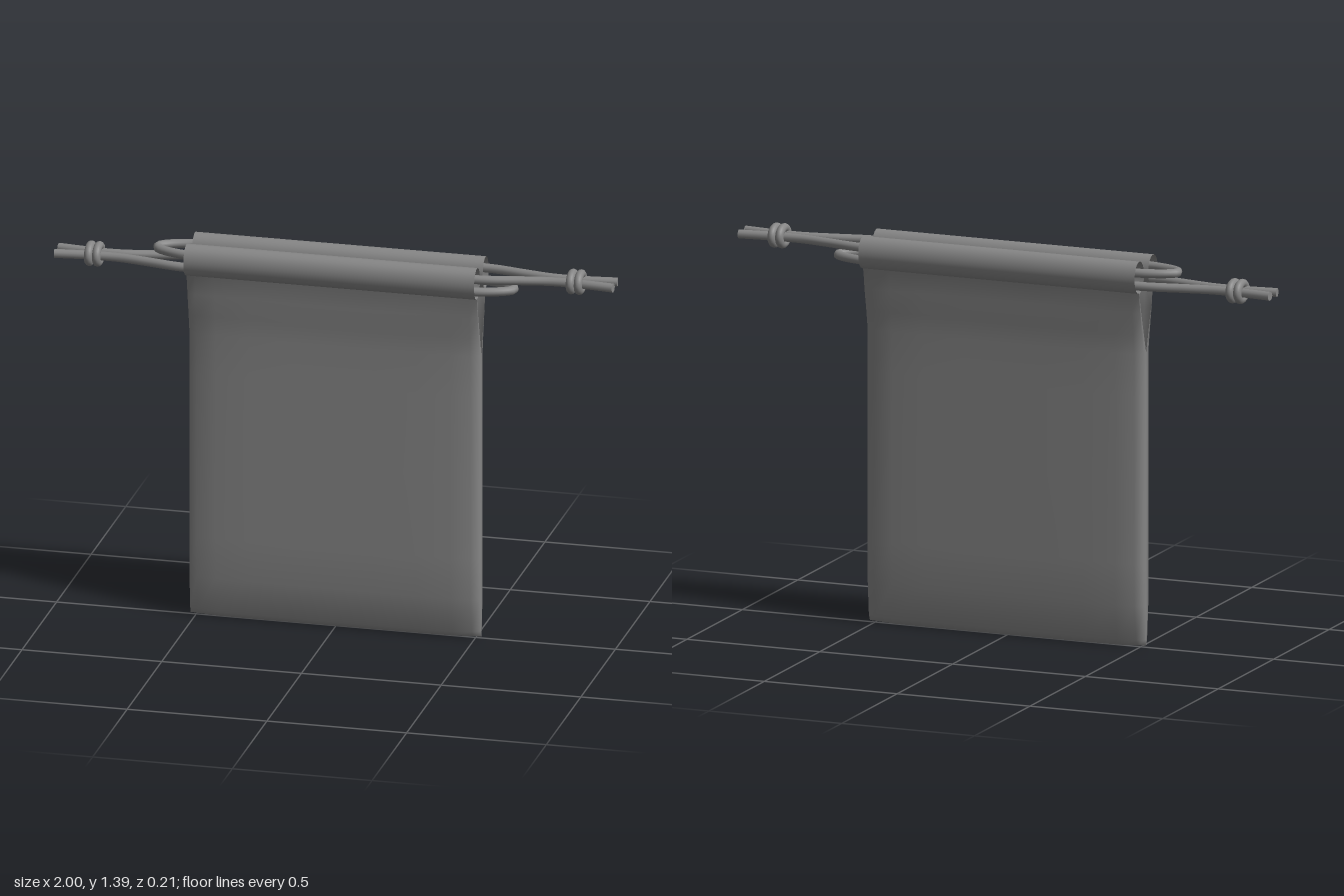
import * as THREE from 'three';

const fabric = new THREE.MeshStandardMaterial({ color: 0x868686, side: THREE.DoubleSide });
const cordMat = new THREE.MeshStandardMaterial({ color: 0x868686 });

const HALF = 0.52;          // half width of the bag

// One half of the bag with its hem: rows are [height, depth, inner edge of the side flap]
function panelGeometry() {
  const rows = [
    [0, 0.002, 0], [0.022, 0.023, 0], [0.15, 0.044, 0], [0.3, 0.045, 0],
    [0.6, 0.045, 0], [0.9, 0.045, 0], [1.05, 0.045, 0], [1.12, 0.05, 0.0205], [1.2, 0.059, 0.044],
  ];
  // The hem curls outward, over the top and back down into a sleeve for the cords
  for (let i = 0; i <= 28; i++) {
    const a = (i / 28) * Math.PI * 2;
    const z = 0.062 + 0.043 * Math.sin(a);
    rows.push([1.33 - 0.057 * Math.cos(a), z, z]);
  }
  // Half cross-section: [x, share of the way from inner edge to full depth]
  const side = [[HALF, 0], [0.519, 0.5], [0.49, 0.8], [0.42, 0.95], [0.3, 1], [0.15, 1]];
  const section = [...side, [0, 1], ...side.slice().reverse().map(([x, t]) => [-x, t])];
  const positions = [], index = [], n = section.length;
  rows.forEach(([y, depth, inner], r) => {
    for (const [x, t] of section) {
      const lift = r < 2 ? 0.006 * Math.max(0, (Math.abs(x) - 0.4) / 0.12) : 0;
      positions.push(x, y + lift, inner + (depth - inner) * t);
    }
    if (r === rows.length - 1) return;
    for (let c = 0; c < n - 1; c++) {
      const a = r * n + c, up = a + n;
      index.push(a, up, a + 1, a + 1, up, up + 1);
    }
  });
  const g = new THREE.BufferGeometry();
  g.setAttribute('position', new THREE.Float32BufferAttribute(positions, 3));
  g.setIndex(index);
  g.computeVertexNormals();
  return g;
}

// Cord looped at -x, with both tails knotted at +x
function makeCord(knotX) {
  const cord = new THREE.Group();
  const half = [
    [1, 0.032], [0.93, 0.024], [0.86, 0.018], [0.77, 0.019], [0.67, 0.036], [0.56, 0.058], [0.48, 0.064],
    [0.2, 0.064], [-0.2, 0.064], [-0.48, 0.064], [-0.55, 0.054], [-0.61, 0.032], [-0.635, 0.012],
  ];
  const points = [...half, ...half.slice().reverse().map(([x, z]) => [x, -z])]
    .map(([x, z]) => new THREE.Vector3(x, 0, z));
  const curve = new THREE.CatmullRomCurve3(points);
  const strand = new THREE.Mesh(new THREE.TubeGeometry(curve, 200, 0.016, 12), cordMat);
  strand.name = 'cordStrand';
  cord.add(strand);

  // Flat caps on the two cut tails
  for (const t of [0, 1]) {
    const cap = new THREE.Mesh(new THREE.CircleGeometry(0.016, 12), cordMat);
    const out = curve.getTangentAt(t).multiplyScalar(t ? 1 : -1);
    cap.position.copy(curve.getPointAt(t));
    cap.quaternion.setFromUnitVectors(new THREE.Vector3(0, 0, 1), out);
    cap.name = 'cordEnd';
    cord.add(cap);
  }

  // Knot: two wraps side by side
  for (const dx of [-0.0145, 0.0145]) {
    const wrap = new THREE.Mesh(
      new THREE.TorusGeometry(0.029, 0.015, 12, 32).rotateY(Math.PI / 2).scale(1, 1, 1.2), cordMat);
    wrap.position.x = knotX + dx;
    wrap.name = 'knotWrap';
    cord.add(wrap);
  }
  return cord;
}

export function createModel() {
  const bag = new THREE.Group();
  bag.name = 'drawstringPouch';

  // Front and back halves, each with its sleeve
  for (const name of ['front', 'back']) {
    const panel = new THREE.Mesh(panelGeometry(), fabric);
    panel.name = name + 'Panel';
    if (name === 'back') panel.rotation.y = Math.PI;
    bag.add(panel);
  }

  // Two cords pulling in opposite directions
  const leftCord = makeCord(0.86);
  leftCord.name = 'leftCord';
  leftCord.position.y = 1.346;
  const rightCord = makeCord(0.864);
  rightCord.name = 'rightCord';
  rightCord.position.y = 1.3;
  rightCord.rotation.y = Math.PI;
  bag.add(leftCord, rightCord);
  return bag;
}
